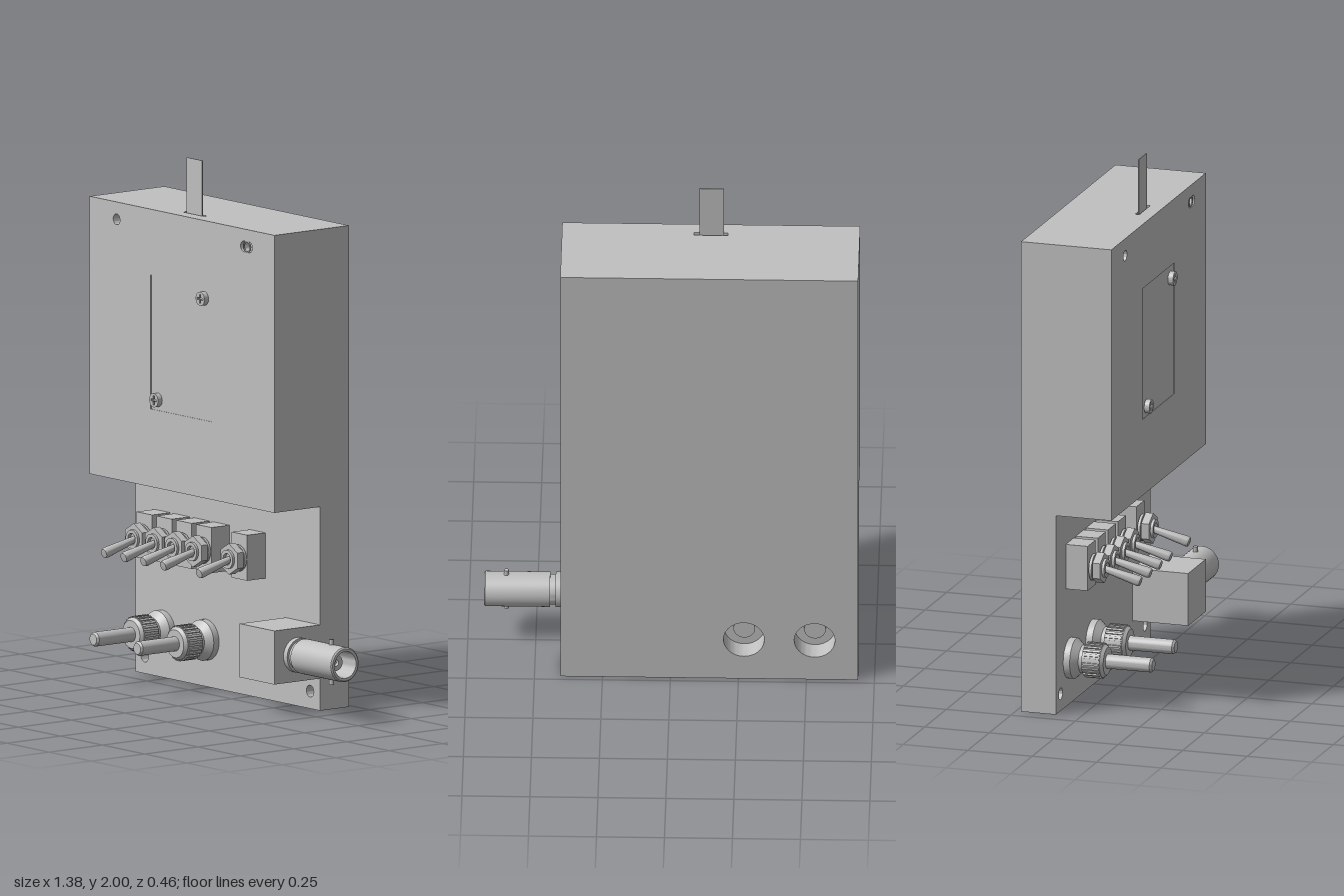
import * as THREE from 'three';
import { toCreasedNormals } from 'three/addons/utils/BufferGeometryUtils.js';

export function createModel() {
  const model = new THREE.Group();
  model.name = 'controlBox';
  const grey = new THREE.MeshStandardMaterial({ color: 0xc0c0c0 });
  grey.name = 'plain grey';

  const add = (name, geometry, parent = model) => {
    const mesh = new THREE.Mesh(geometry, grey);
    mesh.name = name;
    parent.add(mesh);
    return mesh;
  };
  const group = (name, x, y, z) => {
    const g = new THREE.Group();
    g.name = name;
    g.position.set(x, y, z);
    model.add(g);
    return g;
  };
  const box = (name, x0, x1, y0, y1, z0, z1, parent) =>
    add(name, new THREE.BoxGeometry(x1 - x0, y1 - y0, z1 - z0), parent)
      .position.set((x0 + x1) / 2, (y0 + y1) / 2, (z0 + z1) / 2);
  const rect = (x0, x1, y0, y1, Type = THREE.Shape) => new Type([
    new THREE.Vector2(x0, y0), new THREE.Vector2(x1, y0),
    new THREE.Vector2(x1, y1), new THREE.Vector2(x0, y1)]);
  // Round hole, or a horizontal slot when half > 0
  const hole = (x, y, r, half = 0) => {
    const p = new THREE.Path();
    p.absarc(x + half, y, r, -Math.PI / 2, Math.PI / 2);
    p.absarc(x - half, y, r, Math.PI / 2, Math.PI * 1.5);
    return p;
  };
  const plate = (name, shape, holes, z0, z1) => {
    shape.holes.push(...holes);
    const g = new THREE.ExtrudeGeometry(shape, { depth: z1 - z0, bevelEnabled: false, curveSegments: 16 });
    const mesh = add(name, toCreasedNormals(g, 0.5));
    mesh.position.z = z0;
    return mesh;
  };
  // Turned part from [radius, height] points; axis along +z
  const turned = (points, segments = 32) => toCreasedNormals(
    new THREE.LatheGeometry(points.map(p => new THREE.Vector2(...p)), segments).rotateX(Math.PI / 2), 0.5);

  const L = -0.69, R = 0.405, back = -0.23, low = -0.095, front = 0.12;
  const step = 0.76, top = 1.795, capY = 1.775;

  // Housing: back slab with two round pockets, lower panel with screw holes
  plate('backSlab', rect(L, R, 0, step), [hole(-0.53, 0.175, 0.075), hole(-0.27, 0.175, 0.075)], back, -0.15);
  plate('lowerPanel', rect(L, R, 0, step), [hole(-0.635, 0.065, 0.022), hole(0.345, 0.065, 0.022)], -0.15, low);
  box('lowerHoleFloor', -0.67, -0.6, 0.03, 0.1, -0.16, -0.148);
  box('lowerHoleFloor', 0.31, 0.38, 0.03, 0.1, -0.16, -0.148);
  box('upperBody', L, R, step, capY, back, 0.08);
  plate('upperFace', rect(L, R, step, capY), [
    hole(-0.53, 1.73, 0.02), hole(0.24, 1.73, 0.02, 0.015),
    rect(-0.33, 0.04, 1.05, 1.55, THREE.Path)], 0.08, front);
  box('hatch', -0.325, 0.035, 1.05, 1.55, 0.08, 0.118);
  add('holeRim', new THREE.TorusGeometry(0.019, 0.003, 6, 20)).position.set(0.24, 1.73, 0.116);

  // Top cap with a slot, and the thin strip standing in it
  const cap = plate('topCap', rect(L, R, -front, -back), [rect(-0.205, -0.08, -0.066, -0.05, THREE.Path)], 0, top - capY);
  cap.rotation.x = -Math.PI / 2;
  cap.position.y = capY;
  box('strip', -0.19, -0.1, capY, 2, 0.056, 0.06);

  // Cross-head hatch screws
  for (const [x, y] of [[-0.01, 1.505], [-0.285, 1.09]]) {
    const s = group('hatchScrew', x, y, front);
    const head = new THREE.Shape().absarc(0, 0, 0.026, 0, Math.PI * 2);
    const a = 0.004, b = 0.017;
    head.holes.push(new THREE.Path([[a, a], [a, b], [-a, b], [-a, a], [-b, a], [-b, -a], [-a, -a],
      [-a, -b], [a, -b], [a, -a], [b, -a], [b, a]].map(p => new THREE.Vector2(...p))));
    add('head', toCreasedNormals(new THREE.ExtrudeGeometry(head, { depth: 0.02, bevelEnabled: false }), 0.5), s);
    add('recessFloor', turned([[0, 0], [0.022, 0], [0.022, 0.008], [0, 0.008]], 16), s);
  }

  // Toggle switches
  for (const x of [-0.53, -0.413, -0.296, -0.179, 0.034]) {
    const s = group('toggleSwitch', x, 0.53, 0);
    box('base', -0.046, 0.046, -0.08, 0.09, low, -0.01, s);
    add('bushing', turned([[0.035, -0.01], [0.035, 0.05], [0.022, 0.05], [0.018, 0.035], [0, 0.035]], 24), s);
    add('lockWasher', turned([[0.03, -0.005], [0.05, -0.005], [0.05, 0.005], [0.03, 0.005]], 24), s);
    add('hexNut', toCreasedNormals(new THREE.CylinderGeometry(0.058, 0.058, 0.03, 6).rotateX(Math.PI / 2), 0.3), s)
      .position.z = 0.025;
    const lever = add('lever', turned([[0, 0], [0.012, 0], [0.02, 0.145], [0.017, 0.155], [0, 0.157]], 20), s);
    lever.position.z = 0.03;
    lever.rotation.x = 0.26;
  }

  // Knurled rotary controls
  for (const x of [-0.53, -0.27]) {
    const k = group('rotaryControl', x, 0.175, 0);
    add('collar', turned([[0, -0.16], [0.04, -0.16], [0.04, low], [0.076, low], [0.076, -0.07], [0.052, -0.045],
      [0.052, -0.03], [0.062, -0.03], [0.062, 0.04], [0.052, 0.052], [0.027, 0.052]]), k);
    add('shaft', turned([[0.027, 0.05], [0.027, 0.222], [0.021, 0.23], [0, 0.23]], 24), k);
    for (let i = 0; i < 24; i++) {
      const t = i * Math.PI / 12;
      const rib = add('knurlRib', new THREE.BoxGeometry(0.009, 0.009, 0.065), k);
      rib.position.set(Math.cos(t) * 0.062, Math.sin(t) * 0.062, 0.005);
      rib.rotation.z = t;
    }
  }

  // Side connector: block, hollow barrel, centre contact and two locking pins
  box('connectorBlock', 0.2, R, 0.12, 0.32, low, front);
  const c = group('sideConnector', R, 0.22, 0.012);
  c.rotation.y = Math.PI / 2;
  add('barrel', turned([[0, 0], [0.065, 0], [0.065, 0.022], [0.056, 0.022], [0.056, 0.042], [0.065, 0.042],
    [0.065, 0.28], [0.06, 0.285], [0.05, 0.285], [0.05, 0.1], [0, 0.1]], 40), c);
  add('insulator', turned([[0.03, 0.1], [0.03, 0.23], [0.012, 0.23], [0.012, 0.1]], 24), c);
  add('contact', turned([[0.009, 0.1], [0.009, 0.22], [0, 0.22]], 12), c);
  for (const side of [-1, 1]) {
    add('lockingPin', new THREE.CylinderGeometry(0.009, 0.009, 0.03, 14), c).position.set(0, side * 0.07, 0.203);
  }
  return model;
}
